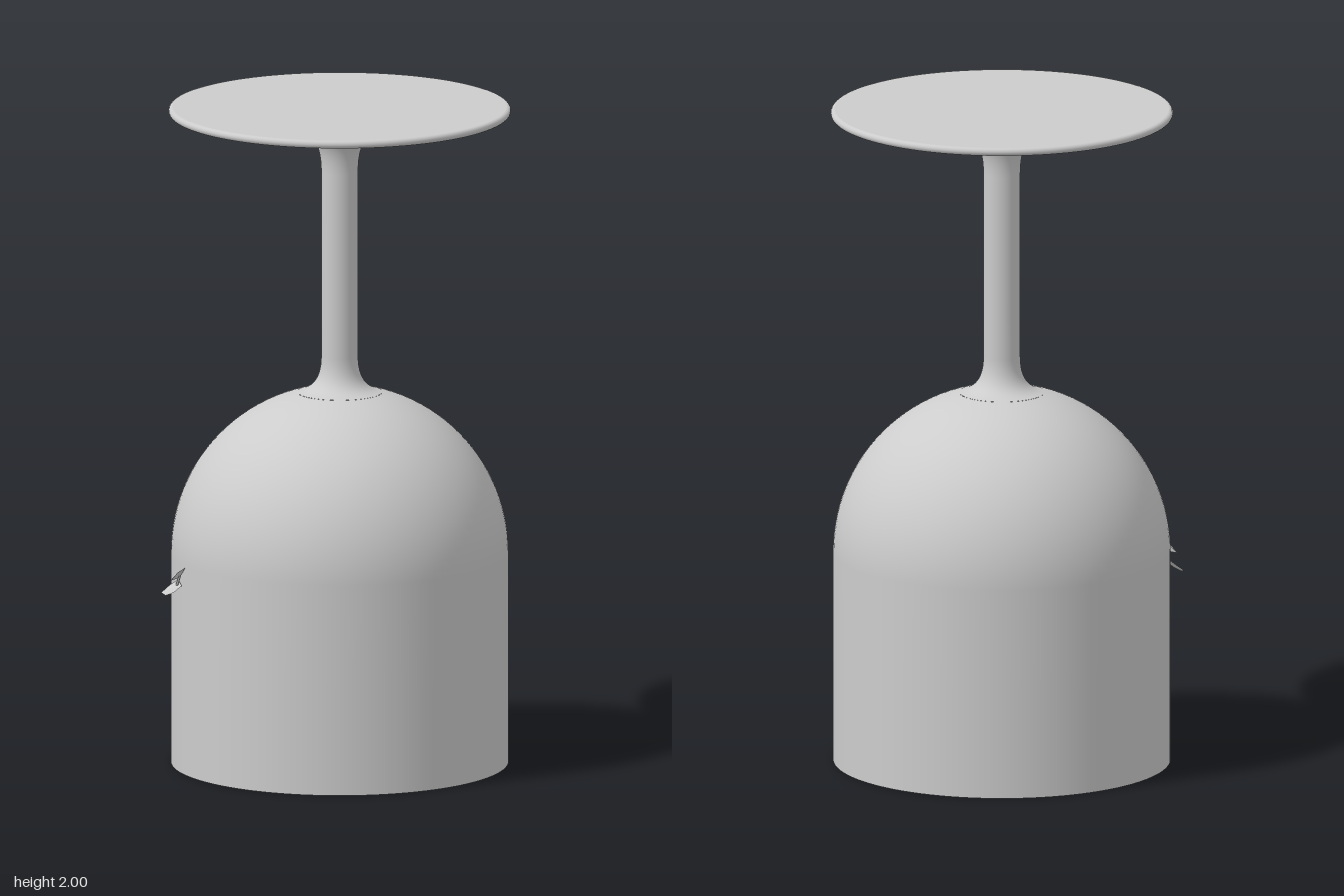
import * as THREE from 'three';

export function createModel() {
  const group = new THREE.Group();
  group.name = 'upturnedGoblet';
  const grey = new THREE.MeshStandardMaterial({ color: 0xcccccc, side: THREE.DoubleSide });
  grey.name = 'lightGrey';

  const add = (name, geometry) => {
    const mesh = new THREE.Mesh(geometry, grey);
    mesh.name = name;
    group.add(mesh);
    return mesh;
  };
  const v2 = (x, y) => new THREE.Vector2(x, y);
  const lathe = (name, points) => add(name, new THREE.LatheGeometry(points, 96));
  const R = 0.505, inner = 0.495, domeY = 0.64, fillY = 0.42;

  // Bowl, mouth down: straight wall, then a round dome
  const bowl = [v2(R, 0), v2(R, 0.3)];
  for (let i = 0; i <= 24; i++) {
    const a = (i / 24) * 1.315;
    bowl.push(v2(R * Math.cos(a), domeY + R * Math.sin(a)));
  }
  // Stem, flaring into the bowl and the foot
  const flareLow = new THREE.CubicBezierCurve(v2(0.128, 1.129), v2(0.08, 1.14), v2(0.055, 1.17), v2(0.055, 1.24));
  const flareHigh = new THREE.CubicBezierCurve(v2(0.055, 1.8), v2(0.055, 1.9), v2(0.09, 1.95), v2(0.2, 1.957));
  lathe('bowl', bowl);
  lathe('stem', [...flareLow.getPoints(12), ...flareHigh.getPoints(14), v2(0.35, 1.966), v2(0.5, 1.976)]);

  // Foot: rounded edge and flat face
  const edge = [];
  for (let i = 0; i <= 8; i++) {
    const a = -Math.PI / 2 + (i / 8) * Math.PI;
    edge.push(v2(0.5 + 0.012 * Math.cos(a), 1.988 + 0.012 * Math.sin(a)));
  }
  lathe('footEdge', edge);
  lathe('footFace', [v2(0.5, 2), v2(0, 2)]);

  // Mouth and inside of the bowl
  lathe('rim', [v2(inner, 0), v2(R, 0)]);
  lathe('innerWall', [v2(inner, fillY), v2(inner, 0)]);
  lathe('innerSurface', [v2(0, fillY), v2(inner, fillY)]);

  // Small sprigs hanging below the inner surface
  const rod = (name, from, to, r) => {
    const a = new THREE.Vector3(...from), b = new THREE.Vector3(...to);
    add(name, new THREE.TubeGeometry(new THREE.LineCurve3(a, b), 1, r, 6));
  };
  rod('innerSprig', [-0.12, fillY, 0.24], [-0.13, fillY - 0.05, 0.25], 0.009);
  rod('innerSprig', [-0.2, fillY, 0.18], [-0.22, fillY - 0.015, 0.17], 0.006);

  // Leaflets on the outside, each a fan around its raised middle
  const leaf = (name, pts) => {
    const mid = [0, 1, 2].map(k => pts.reduce((s, p) => s + p[k], 0) / pts.length);
    mid[0] -= 0.006;
    const pos = pts.flatMap((p, i) => [...mid, ...p, ...pts[(i + 1) % pts.length]]);
    const g = new THREE.BufferGeometry();
    g.setAttribute('position', new THREE.Float32BufferAttribute(pos, 3));
    g.computeVertexNormals();
    add(name, g);
  };
  leaf('lowerLeaf', [[-0.473, 0.55, 0.3], [-0.455, 0.545, 0.315], [-0.43, 0.555, 0.315],
    [-0.408, 0.575, 0.305], [-0.425, 0.59, 0.278], [-0.45, 0.572, 0.282]]);
  leaf('upperLeaf', [[-0.435, 0.595, 0.335], [-0.41, 0.603, 0.315], [-0.392, 0.635, 0.325], [-0.412, 0.622, 0.332]]);
  rod('leafStalk', [-0.425, 0.575, 0.295], [-0.41, 0.61, 0.32], 0.004);

  return group;
}
